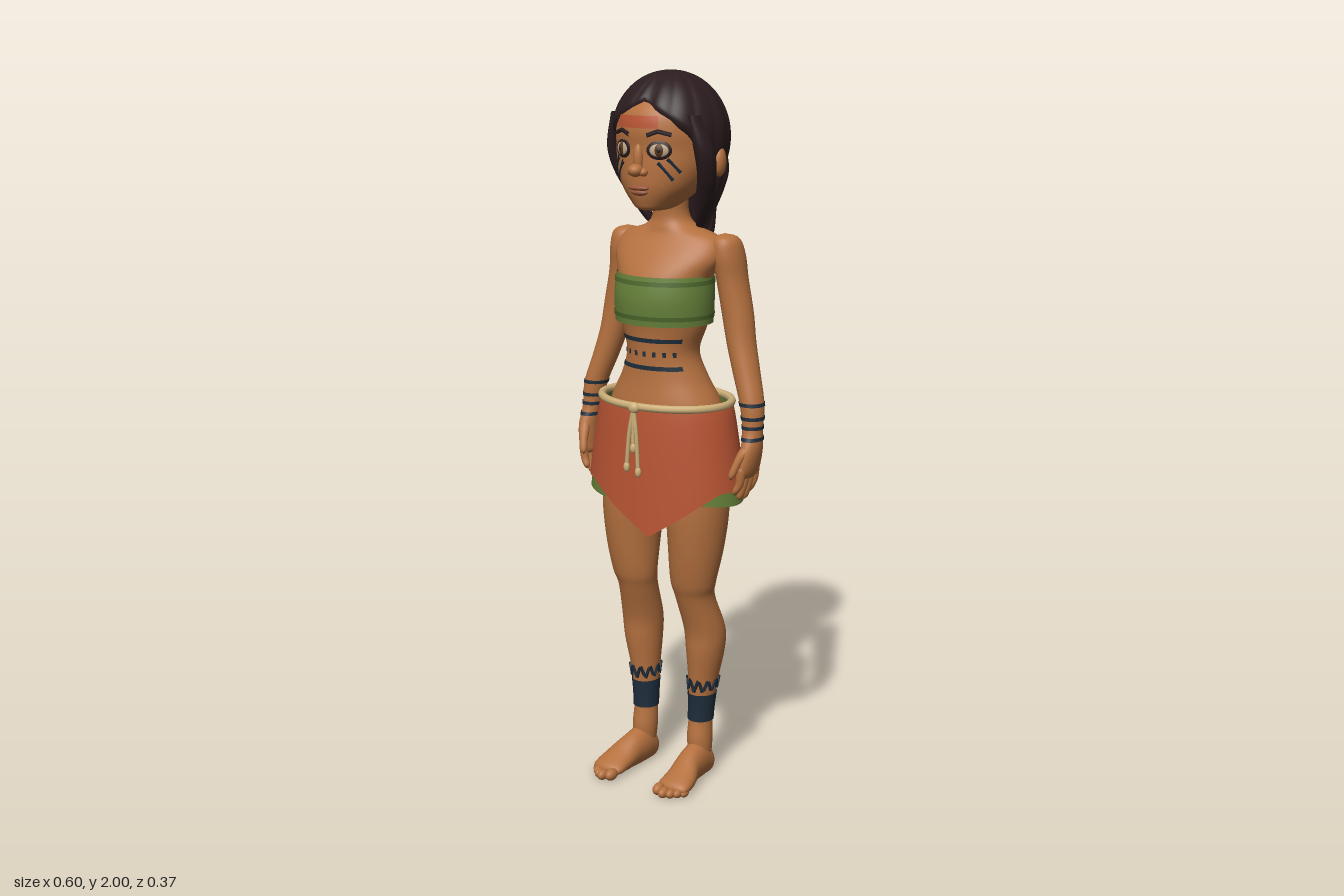
import * as THREE from 'three';
import { mergeVertices } from 'three/addons/utils/BufferGeometryUtils.js';

const paint = (name, color, side = THREE.FrontSide) => {
  const m = new THREE.MeshStandardMaterial({ color, side });
  m.name = name;
  return m;
};
const skin = paint('skin', 0xb5713f);
const hair = paint('dark hair', 0x2c1d1f, THREE.DoubleSide);
const green = paint('green cloth', 0x66803a, THREE.DoubleSide);
const darkGreen = paint('green trim', 0x4c662b, THREE.DoubleSide);
const orange = paint('rust cloth', 0xb85433, THREE.DoubleSide);
const rope = paint('rope', 0xcdb07a);
const ink = paint('navy ink', 0x1e2d3b, THREE.DoubleSide);
const eyeWhite = paint('eye white', 0xc0a888);
const iris = paint('iris brown', 0x5c3b1e);
const lip = paint('lips', 0x99563a);

const mix = THREE.MathUtils.lerp;
const TAU = Math.PI * 2;

export function createModel() {
  const model = new THREE.Group();
  model.name = 'girl';

  const add = (name, geo, mat) => {
    const m = new THREE.Mesh(geo, mat);
    m.name = name;
    model.add(m);
    return m;
  };

  // Smooth grid surface; u runs downward, v runs to the left of the model
  const surf = (fn, nu, nv) => {
    const pos = [], idx = [];
    for (let i = 0; i <= nu; i++)
      for (let j = 0; j <= nv; j++) pos.push(...fn(i / nu, j / nv).toArray());
    for (let i = 0; i < nu; i++)
      for (let j = 0; j < nv; j++) {
        const a = i * (nv + 1) + j, b = a + nv + 1;
        idx.push(a, b, a + 1, b, b + 1, a + 1);
      }
    let g = new THREE.BufferGeometry();
    g.setAttribute('position', new THREE.Float32BufferAttribute(pos, 3));
    g.setIndex(idx);
    g = mergeVertices(g, 1e-5);
    g.computeVertexNormals();
    return g;
  };

  // Form through elliptical rings [x, y, z, rx, rz], listed top to bottom
  const form = (rings, s = 1, groove = 0) => {
    const curve = (pts) => new THREE.CatmullRomCurve3(pts, false, 'catmullrom');
    const c = curve(rings.map((r) => new THREE.Vector3(r[0] * s, r[1], r[2])));
    const q = curve(rings.map((r) => new THREE.Vector3(r[3], r[4], 0)));
    const at = (u, a, off = 0) => {
      const p = c.getPoint(u), r = q.getPoint(u);
      const k = 1 + groove * Math.abs(Math.sin(a * 8 + u * 2));
      p.x += (Math.max(r.x, 0) * k + off) * Math.sin(a);
      p.z += (Math.max(r.y, 0) * k + off) * Math.cos(a);
      return p;
    };
    const onY = (y, a, off) => {
      let lo = 0, hi = 1;
      for (let i = 0; i < 24; i++) {
        const m = (lo + hi) / 2;
        if (c.getPoint(m).y > y) lo = m; else hi = m;
      }
      return at(lo, a, off);
    };
    return {
      onY,
      solid: (nu = 40, nv = 36) => surf((u, v) => at(u, v * TAU), nu, nv),
      patch: (y0, y1, a0 = 0, a1 = TAU, off = 0.003, nv = 32) =>
        surf((u, v) => onY(mix(y0, y1, u), mix(a0, a1, v), off), 3, nv),
      line: (pts, r = 0.004, n = 20) => {
        const path = new THREE.CurvePath();
        const p = pts.map(([y, a]) => onY(y, a, 0.001));
        for (let i = 1; i < p.length; i++) path.add(new THREE.LineCurve3(p[i - 1], p[i]));
        return new THREE.TubeGeometry(path, n, r, 5);
      },
    };
  };
  const blob = (name, mat, p, r, ry = 0) => {
    const m = add(name, new THREE.SphereGeometry(1, 20, 14), mat);
    m.position.set(...p);
    m.scale.set(...r);
    m.rotation.y = ry;
    return m;
  };

  // Neck and torso
  const torso = form([
    [0, 1.69, -.02, .05, .05], [0, 1.62, -.027, .05, .05], [0, 1.587, -.03, .078, .058],
    [0, 1.56, -.033, .15, .07], [0, 1.51, -.018, .165, .092], [0, 1.45, 0, .138, .11],
    [0, 1.38, .005, .135, .116], [0, 1.32, .005, .124, .102], [0, 1.25, .01, .104, .09],
    [0, 1.18, .002, .128, .098], [0, 1.1, -.005, .17, .115], [0, .98, -.01, .195, .132],
    [0, .88, -.01, .16, .105], [0, .835, -.01, 0, 0]]);
  add('torso', torso.solid(70, 48), skin);

  // Waist markings
  for (const y of [1.288, 1.212]) add('waistStripe', torso.patch(y + .006, y - .006, -1, 1, .002), ink);
  for (let i = -3; i <= 3; i++)
    add('waistDot', torso.patch(1.257, 1.243, i * .28 - .05, i * .28 + .05, .002, 3), ink);

  // Bandeau top with trims
  const band = form([[0, 1.463, 0, .14, .118], [0, 1.4, .005, .143, .124], [0, 1.33, .005, .14, .12]]);
  add('bandeau', band.solid(10, 48), green);
  for (const y of [1.445, 1.352]) add('bandeauTrim', band.patch(y + .006, y - .006, 0, TAU, .002, 48), darkGreen);

  // Skirt: green underlayer and rust wrap with a pointed front
  const cloth = (a0, a1, off, hem) => surf((u, v) => {
    const a = mix(a0, a1, v), y = mix(1.11, hem(a), u), k = (1.11 - y) / .25;
    return new THREE.Vector3((.188 + .046 * k ** .75 + off) * Math.sin(a), y,
      -.005 + (.14 + .014 * k ** .75 + off) * Math.cos(a));
  }, 14, 80);
  add('underSkirt', cloth(0, TAU, 0, (a) => .845 + .006 * Math.sin(a * 3)), green);
  add('wrapSkirt', cloth(-2.29, 2.67, .007,
    (a) => .88 - .125 * Math.max(0, 1 - Math.abs(a - .2)) ** 1.3), orange);

  // Rope belt, knot and hanging ends
  const belt = new THREE.EllipseCurve(0, 0, .194, .146).getPoints(48).slice(0, -1)
    .map((p) => new THREE.Vector3(p.x, 1.112, p.y - .005));
  add('ropeBelt', new THREE.TubeGeometry(new THREE.CatmullRomCurve3(belt, true), 72, .011, 8, true), rope);
  blob('ropeKnot', rope, [0, 1.11, .15], [.017, .016, .013]);
  for (const [x, y] of [[-.018, .945], [.02, .935], [.004, 1.0]]) {
    const path = new THREE.CatmullRomCurve3([[0, 1.11, .152], [x * .6, 1.04, .157], [x, y, .16]]
      .map((p) => new THREE.Vector3(...p)));
    add('ropeEnd', new THREE.TubeGeometry(path, 12, .006, 6), rope);
    blob('ropeTip', rope, [x, y, .16], [.009, .015, .008]);
  }

  // Limbs
  for (const s of [1, -1]) {
    const arm = form([
      [.16, 1.574, -.048, 0, 0], [.163, 1.56, -.05, .034, .04], [.168, 1.515, -.055, .043, .054],
      [.178, 1.45, -.06, .041, .05], [.196, 1.36, -.06, .043, .045], [.212, 1.28, -.055, .04, .042],
      [.236, 1.2, -.045, .037, .039], [.262, 1.12, -.032, .033, .035], [.27, 1.05, -.024, .027, .031],
      [.273, 1.0, -.015, .025, .042], [.268, .95, -.01, .021, .046], [.262, .925, -.01, .016, .04],
      [.258, .91, -.01, 0, 0]], s);
    add('arm', arm.solid(56, 28), skin);
    for (const y of [1.122, 1.085, 1.06, 1.03])
      add('wristStripe', arm.patch(y + .005, y - .005, 0, TAU, .002), ink);
    [-.045, -.02, .004, .027].forEach((z, i) => {
      const tip = [.87, .856, .858, .875][i];
      add('finger', form([[.266, .96, z, 0, 0], [.266, .95, z, .012, .012], [.262, .91, z, .012, .012],
        [.252, tip + .012, z + .004, .01, .01], [.25, tip, z + .005, 0, 0]], s).solid(14, 10), skin);
    });
    add('thumb', form([[.27, 1.02, .01, 0, 0], [.268, 1.0, .016, .014, .016], [.258, .965, .036, .012, .013],
      [.25, .935, .048, .01, .01], [.248, .922, .05, 0, 0]], s).solid(16, 10), skin);

    const leg = form([
      [.1, .95, 0, .085, .09], [.108, .82, 0, .086, .096], [.107, .7, .005, .078, .08],
      [.1, .6, .008, .066, .06], [.098, .55, -.005, .057, .056], [.107, .45, -.04, .059, .06],
      [.107, .38, -.045, .054, .058], [.1, .28, -.044, .04, .045], [.096, .18, -.04, .034, .036],
      [.096, .11, -.035, .036, .039], [.098, .04, -.035, .03, .032]], s);
    add('leg', leg.solid(60, 32), skin);
    add('ankleBand', leg.patch(.252, .17), ink);
    const zigzag = Array.from({ length: 21 }, (_, i) => [i % 2 ? .3 : .262, i * TAU / 20]);
    add('ankleZigzag', leg.line(zigzag, .005, 80), ink);

    // Foot is formed along its length, laid down, then flattened at the sole
    const foot = form([
      [.114, .148, -.02, 0, 0], [.114, .135, -.021, .045, .018], [.112, .085, -.03, .047, .034],
      [.102, .03, -.045, .039, .05], [.098, -.025, -.05, .037, .055], [.098, -.065, -.037, .03, .038],
      [.098, -.08, -.033, 0, 0]], s).solid(32, 24).rotateX(Math.PI / 2);
    const p = foot.attributes.position;
    for (let i = 0; i < p.count; i++) p.setY(i, Math.max(p.getY(i), .002));
    foot.computeVertexNormals();
    add('foot', foot, skin);
    [[.083, .153, .018], [.106, .163, .016], [.124, .154, .014], [.139, .141, .013], [.152, .126, .012]]
      .forEach(([x, z, r]) => blob('toe', skin, [s * x, r, z], [r * .85, r * .95, r * 1.3]));
  }

  // Head
  const head = form([
    [0, 1.975, -.02, 0, 0], [0, 1.95, -.02, .08, .085], [0, 1.9, -.015, .125, .13],
    [0, 1.85, -.01, .137, .138], [0, 1.8, -.01, .138, .134], [0, 1.75, 0, .13, .126],
    [0, 1.7, .01, .108, .115], [0, 1.66, .03, .07, .085], [0, 1.64, .045, .042, .056],
    [0, 1.632, .05, 0, 0]]);
  add('head', head.solid(48, 48), skin);
  add('foreheadPaint', head.patch(1.888, 1.856, -.6, .42, .002), orange);
  blob('noseBridge', skin, [0, 1.775, .125], [.014, .04, .014]);
  blob('noseTip', skin, [0, 1.747, .138], [.02, .017, .022]);
  blob('upperLip', lip, [0, 1.7, .124], [.032, .008, .012]);
  blob('lowerLip', lip, [0, 1.688, .121], [.026, .009, .013]);
  for (const s of [1, -1]) {
    blob('nostril', skin, [s * .018, 1.742, .128], [.012, .011, .014]);
    const a = s * .43, e = head.onY(1.8, a, 0).toArray();
    blob('lashLine', hair, e, [.034, .025, .006], a);
    blob('eyeWhite', eyeWhite, e, [.029, .02, .0085], a);
    blob('iris', iris, e, [.017, .019, .0105], a);
    blob('pupil', hair, e, [.009, .01, .0125], a);
    add('eyebrow', head.line([[1.838, s * .2], [1.849, s * .42], [1.84, s * .68]], .006), hair);
    add('cheekStripe', head.line([[1.768, s * .42], [1.722, s * .8]], .005), ink);
    add('cheekStripe', head.line([[1.778, s * .6], [1.742, s * .92]], .005), ink);
    blob('ear', skin, [s * .15, 1.765, -.035], [.018, .04, .026], s * .4);
  }

  // Hair cap: hairline rises at the front parting and drops behind the ears
  const hairline = [[0, .98], [.5, 1.25], [.9, 1.5], [1.3, 1.95], [1.8, 2.3], [Math.PI + .01, 2.4]];
  const reach = (a) => {
    const i = hairline.findIndex((h) => h[0] > a), [a0, r0] = hairline[i - 1], [a1, r1] = hairline[i];
    return mix(r0, r1, (a - a0) / (a1 - a0));
  };
  add('hairCap', surf((t, v) => {
    const a = (v - .5) * TAU, ph = t * reach(Math.abs(a));
    const k = (1 + .022 * Math.abs(Math.sin(8 * a + t * 1.5)) * Math.sin(ph))
      * (1 - .05 * t * Math.exp(-((a - .12) ** 2) / .02))
      * (1 - .11 * Math.max(0, (t - .88) / .12) ** 2);
    return new THREE.Vector3(.158 * k * Math.sin(ph) * Math.sin(a), 1.825 + .175 * k * Math.cos(ph),
      -.025 + .16 * k * Math.sin(ph) * Math.cos(a));
  }, 36, 144), hair);

  // Back hair, tapering locks and side locks
  add('backHair', form([
    [0, 1.87, -.075, .1, .08], [0, 1.75, -.095, .126, .082], [0, 1.68, -.1, .112, .062],
    [0, 1.6, -.1, .076, .042], [0, 1.53, -.107, .05, .026], [0, 1.45, -.125, 0, 0]], 1, .04).solid(36, 96), hair);
  for (const [x, y] of [[-.075, 1.5], [-.035, 1.46], [.015, 1.44], [.06, 1.49]])
    add('backLock', form([[x, 1.68, -.125, .02, .025], [x * .95, 1.58, -.122, .02, .02],
      [x * .85, 1.52, -.122, .013, .013], [x * .8, y, -.128, 0, 0]]).solid(20, 12), hair);
  for (const s of [1, -1]) {
    const w = s > 0 ? .024 : .016;
    add('sideLock', form([
      [.122, 1.89, .045, .015, .025], [.143, 1.8, .03, w, .03], [.138, 1.73, .008, w, .027],
      [.112, 1.66, -.022, w, .024], [.085, 1.6, -.045, .012, .016], [.068, 1.56, -.06, 0, 0]], s, .06).solid(28, 32), hair);
  }
  return model;
}
